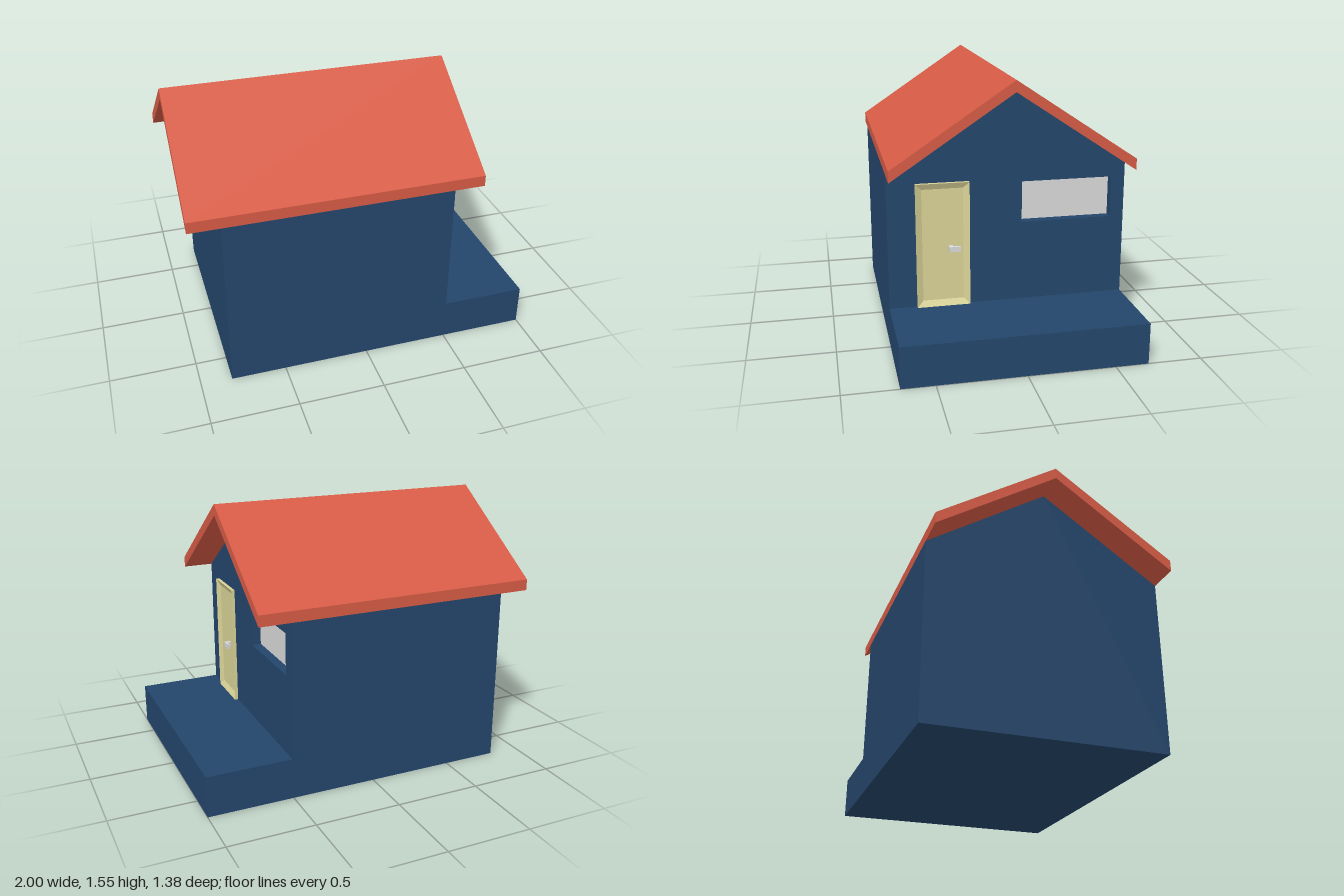
import * as THREE from 'three';

const material = (name, color) => {
  const m = new THREE.MeshStandardMaterial({ color });
  m.name = name;
  return m;
};

// Extrude a (z, y) outline along x, from x0 to x1, with an optional hole
function extrudeX(points, x0, x1, hole) {
  const toVec = ([z, y]) => new THREE.Vector2(-z, y);
  const shape = new THREE.Shape(points.map(toVec));
  if (hole) shape.holes.push(new THREE.Path(hole.map(toVec)));
  const geo = new THREE.ExtrudeGeometry(shape, { depth: x1 - x0, bevelEnabled: false });
  return geo.rotateY(Math.PI / 2).translate(x0, 0, 0);
}

// Box given by its minimum and maximum corners
function boxBetween([x0, y0, z0], [x1, y1, z1]) {
  return new THREE.BoxGeometry(x1 - x0, y1 - y0, z1 - z0)
    .translate((x0 + x1) / 2, (y0 + y1) / 2, (z0 + z1) / 2);
}

// Door leaf facing +x: raised rim sloping in to a sunken panel
function doorGeometry(z0, z1, y0, y1, back, front, panel, bevel) {
  const ring = (x, d) => [
    [x, y0 + d, z1 - d], [x, y0 + d, z0 + d], [x, y1 - d, z0 + d], [x, y1 - d, z1 - d],
  ];
  const rings = [ring(back, 0), ring(front, 0), ring(panel, bevel)];
  const pos = [];
  const quad = (a, b, c, d) => pos.push(...a, ...b, ...c, ...a, ...c, ...d);
  for (let r = 0; r < 2; r++) {
    for (let i = 0; i < 4; i++) {
      const j = (i + 1) % 4;
      quad(rings[r][i], rings[r][j], rings[r + 1][j], rings[r + 1][i]);
    }
  }
  quad(...rings[2]);
  const geo = new THREE.BufferGeometry();
  geo.setAttribute('position', new THREE.Float32BufferAttribute(pos, 3));
  geo.computeVertexNormals();
  return geo;
}

export function createModel() {
  const wall = material('wall blue', 0x24466b);
  const tile = material('roof red', 0xd65b45);
  const cream = material('door cream', 0xd8d296);
  const grey = material('light grey', 0xd8d8d8);

  const house = new THREE.Group();
  house.name = 'house';
  const add = (name, geo, mat) => {
    const mesh = new THREE.Mesh(geo, mat);
    mesh.name = name;
    house.add(mesh);
  };

  // Gabled body, with a front layer that leaves the window recess open
  const W = 0.69, inset = 0.45, face = 0.505;
  const gable = [[W, 0], [-W, 0], [-W, 1.03], [0, 1.49], [W, 1.03]];
  const opening = [[-0.08, 0.71], [-0.08, 0.95], [-0.61, 0.95], [-0.61, 0.71]];
  add('houseBody', extrudeX(gable, -0.82, inset), wall);
  add('windowWall', extrudeX(gable, inset, face, opening), wall);
  add('windowPane', boxBetween([inset - 0.004, 0.71, -0.61], [inset + 0.002, 0.95, -0.08]), grey);

  // Porch step in front of the door
  add('porch', boxBetween([face, 0, -W], [1, 0.24, W]), wall);

  // Pitched roof with overhang at both gables
  add('roof', extrudeX(
    [[W, 1.03], [0, 1.49], [-W, 1.03], [-W, 1.095], [0, 1.555], [W, 1.095]], -1, 0.685), tile);

  // Door and handle
  add('door', doorGeometry(0.225, 0.53, 0.24, 0.97, face, 0.526, 0.508, 0.035), cream);
  add('handleStem', boxBetween([0.506, 0.57, 0.322], [0.534, 0.6, 0.345]), grey);
  add('handleBar', boxBetween([0.53, 0.57, 0.28], [0.545, 0.6, 0.345]), grey);

  return house;
}
